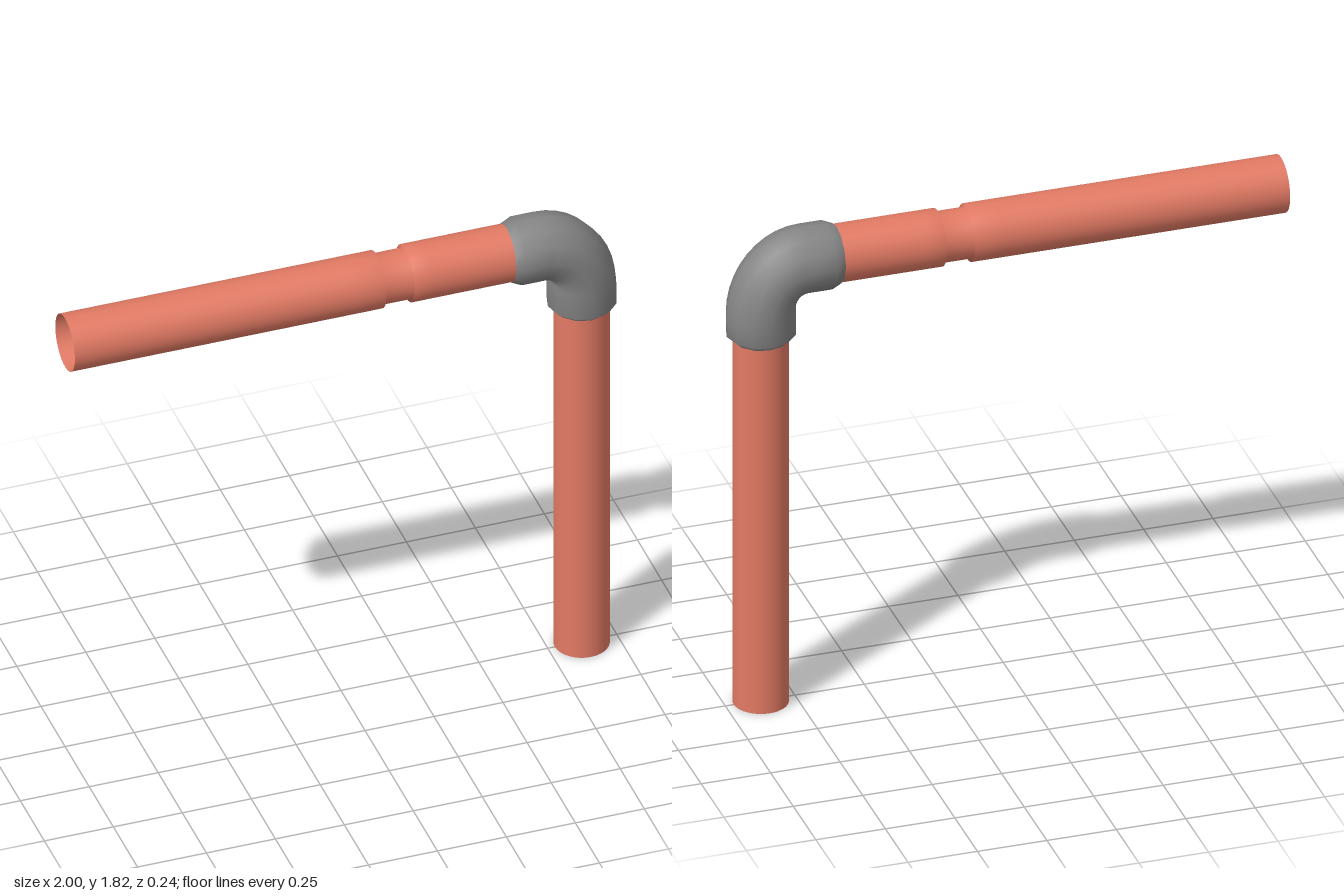
import * as THREE from 'three';

const copper = new THREE.MeshStandardMaterial({ color: 0xe27a64, side: THREE.DoubleSide });
const grey = new THREE.MeshStandardMaterial({ color: 0x858585, side: THREE.DoubleSide });

// Open tube turned from [radius, height] points
function pipe(name, profile) {
  const points = profile.map(([r, h]) => new THREE.Vector2(r, h));
  const mesh = new THREE.Mesh(new THREE.LatheGeometry(points, 32), copper);
  mesh.name = name;
  return mesh;
}

// Skin over oval rings, each spanning an outer and an inner point, with a half width in z
function elbowGeometry(sections, sides) {
  const positions = [], index = [];
  sections.forEach(([ox, oy, ix, iy, w], i) => {
    for (let j = 0; j < sides; j++) {
      const a = (j / sides) * Math.PI * 2, c = Math.cos(a) / 2;
      positions.push((ox + ix) / 2 + (ox - ix) * c, (oy + iy) / 2 + (oy - iy) * c, w * Math.sin(a));
      if (i < sections.length - 1) {
        const p = i * sides + j, q = i * sides + ((j + 1) % sides);
        index.push(p, q, p + sides, q, q + sides, p + sides);
      }
    }
  });
  const geometry = new THREE.BufferGeometry();
  geometry.setAttribute('position', new THREE.Float32BufferAttribute(positions, 3));
  geometry.setIndex(index);
  geometry.computeVertexNormals();
  return geometry;
}

export function createModel() {
  const group = new THREE.Group();

  // Horizontal pipe with a narrow neck
  const horizontal = pipe('horizontalPipe', [
    [0.102, -1], [0.102, 0.03], [0.102, 0.13], [0.09, 0.131],
    [0.09, 0.234], [0.102, 0.235], [0.102, 0.3], [0.102, 0.66],
  ]);
  horizontal.rotation.z = -Math.PI / 2;
  horizontal.position.y = 1.7;
  group.add(horizontal);

  // Vertical pipe
  const vertical = pipe('verticalPipe', [[0.097, 0], [0.097, 1.46]]);
  vertical.position.x = 0.8725;
  group.add(vertical);

  // Elbow fitting: chamfered rim, wide bend with a tight inner corner, chamfered rim
  const sections = [
    [0.6, 1.805, 0.6, 1.595, 0.105],
    [0.635, 1.82, 0.635, 1.58, 0.122],
  ];
  const steps = 10;
  for (let i = 0; i <= steps; i++) {
    const a = (i / steps) * Math.PI / 2, s = Math.sin(a), c = Math.cos(a);
    sections.push([0.72 + 0.275 * s, 1.5 + 0.32 * c, 0.72 + 0.03 * s, 1.55 + 0.03 * c, 0.122]);
  }
  sections.push([0.995, 1.44, 0.75, 1.44, 0.122], [0.972, 1.418, 0.773, 1.418, 0.1]);
  const elbow = new THREE.Mesh(elbowGeometry(sections, 12), grey);
  elbow.name = 'elbowFitting';
  group.add(elbow);

  return group;
}
